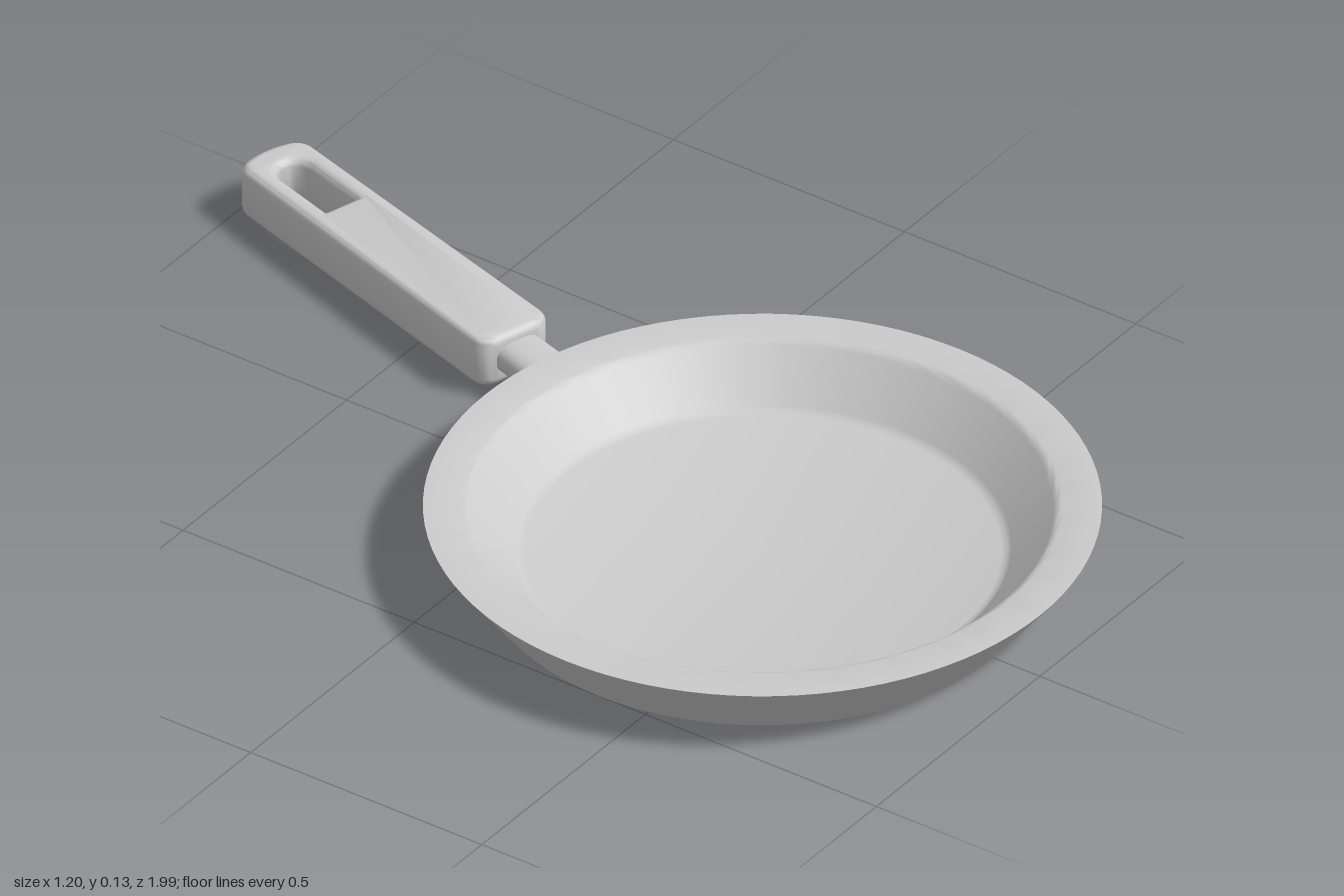
import * as THREE from 'three';
import { toCreasedNormals } from 'three/addons/utils/BufferGeometryUtils.js';

const material = new THREE.MeshStandardMaterial({ color: 0xcccccc, side: THREE.DoubleSide });

function addMesh(parent, name, geometry) {
  const mesh = new THREE.Mesh(geometry, material);
  mesh.name = name;
  parent.add(mesh);
}

// Pan shell: flared outer wall, flat rim, sloped inner wall and raised floor; open underneath
function panGeometry() {
  const profile = [
    [0.5, 0], [0.6, 0.13], [0.528, 0.13], [0.521, 0.128], [0.514, 0.122],
    [0.44, 0.042], [0.433, 0.036], [0.422, 0.033], [0, 0.033],
  ].map(([r, y]) => new THREE.Vector2(r, y));
  return toCreasedNormals(new THREE.LatheGeometry(profile, 96), 0.5);
}

// Neck: oval sections lofted outwards, the first one lying on the sloped wall
function neckGeometry() {
  const sides = 24;
  const rings = [
    { offset: -0.002, w: 0.065, h: 0.045, y: 0.055 },
    { offset: 0.015, w: 0.054, h: 0.036, y: 0.064 },
    { offset: 0.035, w: 0.049, h: 0.031, y: 0.069 },
    { t: 0.66, w: 0.048, h: 0.03, y: 0.07 },
    { t: 0.73, w: 0.048, h: 0.03, y: 0.07 },
  ];
  const positions = [], index = [];
  const power = (v) => Math.sign(v) * Math.abs(v) ** 0.75;
  rings.forEach((ring, i) => {
    for (let j = 0; j < sides; j++) {
      const a = (j / sides) * Math.PI * 2;
      const x = ring.w * power(Math.cos(a));
      const y = ring.y + ring.h * power(Math.sin(a));
      const wall = Math.sqrt((0.5 + (0.1 * y) / 0.13) ** 2 - x * x);
      positions.push(x, y, -(ring.t ?? wall + ring.offset));
      if (i === rings.length - 1) continue;
      const p = i * sides + j, q = i * sides + ((j + 1) % sides);
      index.push(p, p + sides, q, q, p + sides, q + sides);
    }
  });
  const geometry = new THREE.BufferGeometry();
  geometry.setAttribute('position', new THREE.Float32BufferAttribute(positions, 3));
  geometry.setIndex(index);
  geometry.computeVertexNormals();
  return geometry;
}

// Grip: rounded bar with an arched hanging slot near its end
function gripGeometry() {
  const bevel = 0.016, start = 0.71 + bevel, end = 1.445 - bevel, w = 0.062, r = 0.022;
  const shape = new THREE.Shape();
  shape.moveTo(-w + r, start);
  shape.lineTo(w - r, start);
  shape.quadraticCurveTo(w, start, w, start + r);
  shape.lineTo(w - 0.004, end - r - 0.006);
  shape.quadraticCurveTo(w - 0.004, end - 0.006, w - r, end - 0.003);
  shape.quadraticCurveTo(0, end + 0.008, -w + r, end - 0.003);
  shape.quadraticCurveTo(-w + 0.004, end - 0.006, -w + 0.004, end - r - 0.006);
  shape.lineTo(-w, start + r);
  shape.quadraticCurveTo(-w, start, -w + r, start);

  const s = 0.034 + bevel, low = 1.225 - bevel, high = 1.36;
  const slot = new THREE.Path();
  slot.moveTo(-s + 0.012, low);
  slot.quadraticCurveTo(-s, low, -s, low + 0.012);
  slot.lineTo(-s, high);
  slot.quadraticCurveTo(-s * 0.8, high + 0.045, 0, high + 0.045);
  slot.quadraticCurveTo(s * 0.8, high + 0.045, s, high);
  slot.lineTo(s, low + 0.012);
  slot.quadraticCurveTo(s, low, s - 0.012, low);
  slot.closePath();
  shape.holes.push(slot);

  const geometry = new THREE.ExtrudeGeometry(shape, {
    depth: 0.1 - 2 * bevel, bevelEnabled: true, bevelSize: bevel,
    bevelThickness: bevel, bevelSegments: 4, curveSegments: 6,
  });
  geometry.rotateX(-Math.PI / 2);
  geometry.translate(0, 0.018 + bevel, 0);
  // Slight droop towards the free end
  const p = geometry.attributes.position;
  for (let i = 0; i < p.count; i++) p.setY(i, p.getY(i) - 0.011 * (-p.getZ(i) - 0.71));
  return toCreasedNormals(geometry, 0.7);
}

export function createModel() {
  const model = new THREE.Group();
  model.name = 'fryingPan';
  const body = new THREE.Group();
  body.position.z = 0.4;
  model.add(body);
  addMesh(body, 'pan', panGeometry());

  // Handle points radially away from the pan, swung to one side
  const handle = new THREE.Group();
  handle.name = 'handle';
  handle.rotation.y = -0.303;
  body.add(handle);
  addMesh(handle, 'neck', neckGeometry());
  addMesh(handle, 'grip', gripGeometry());
  return model;
}
